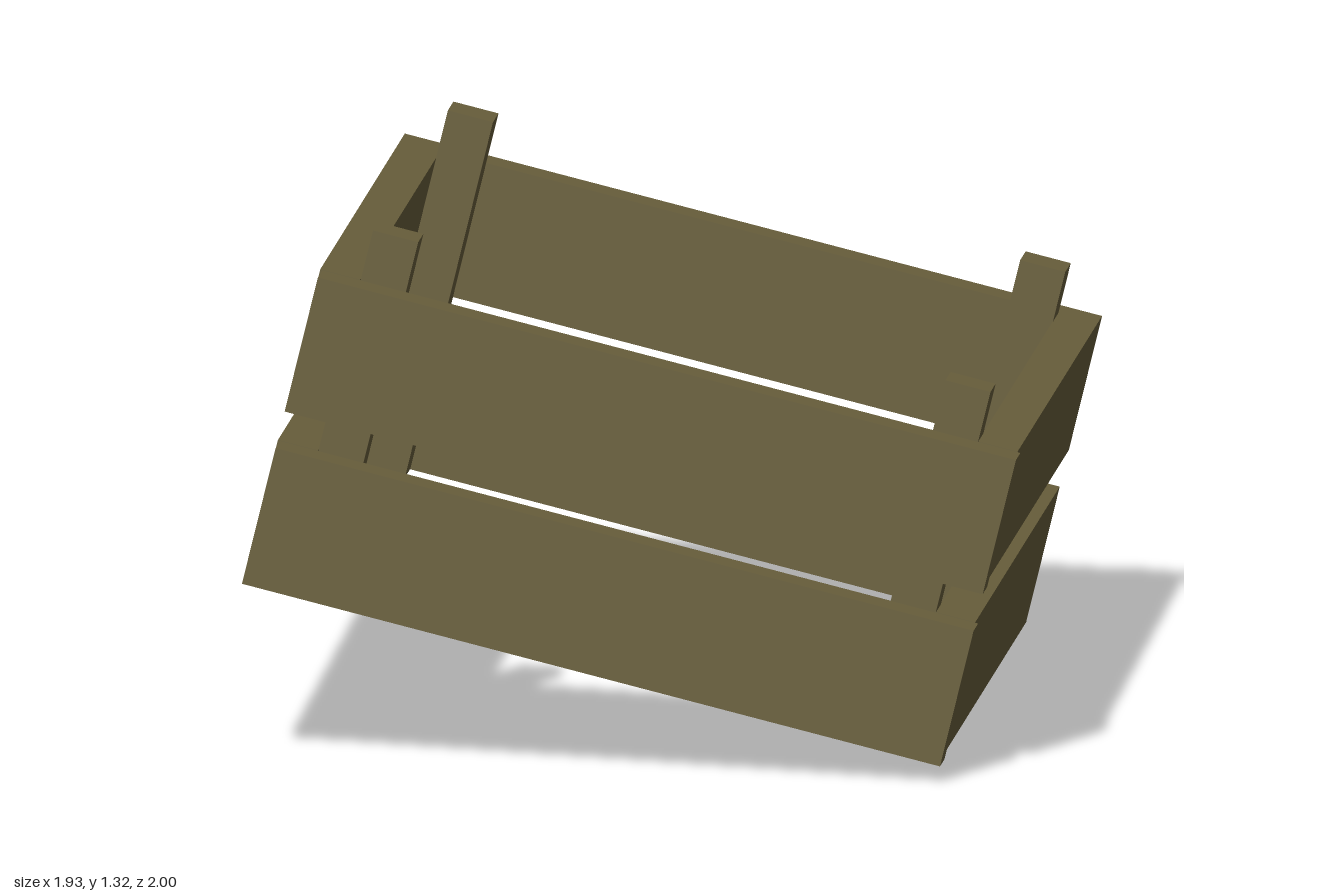
import * as THREE from 'three';

export function createModel() {
  const model = new THREE.Group();
  model.name = 'slattedCrate';
  const wood = new THREE.MeshStandardMaterial({ color: 0x6a603c });
  wood.name = 'agedWood';

  // The whole crate lies tilted, so it is built square inside a turned group
  const crate = new THREE.Group();
  crate.name = 'tiltedCrate';
  const ez = new THREE.Vector3(0.01, 0.021, 1).normalize();
  const ex = new THREE.Vector3(0.972, -0.235, -0.0048).normalize();
  const ey = new THREE.Vector3().crossVectors(ez, ex).normalize();
  ex.crossVectors(ey, ez);
  crate.quaternion.setFromRotationMatrix(new THREE.Matrix4().makeBasis(ex, ey, ez));
  model.add(crate);

  // Box given by its limits along each axis
  function beam(name, [x0, x1], [y0, y1], [z0, z1]) {
    const mesh = new THREE.Mesh(new THREE.BoxGeometry(x1 - x0, y1 - y0, z1 - z0), wood);
    mesh.position.set((x0 + x1) / 2, (y0 + y1) / 2, (z0 + z1) / 2);
    mesh.name = name;
    crate.add(mesh);
  }

  // Two rows of boards around the crate
  const rows = { lower: [0.203, 0.551], upper: [0.645, 0.989] };
  for (const [row, y] of Object.entries(rows)) {
    beam(row + 'FrontBoard', [-1.027, 0.738], y, [0.9, 1.0]);
    beam(row + 'BackBoard', [-1.033, 0.73], y, [-0.974, -0.876]);
    beam(row + 'RightBoard', [-1.033, -0.932], y, [-0.876, 0.895]);
    beam(row + 'LeftBoard', [0.63, 0.73], y, [-0.876, 0.895]);
  }

  // Corner posts inside the boards, standing above the rim
  for (const [side, x] of [['Right', [-0.93, -0.816]], ['Left', [0.517, 0.631]]]) {
    beam('front' + side + 'Post', x, [0.205, 1.117], [0.785, 0.901]);
    beam('back' + side + 'Post', x, [0.205, 1.117], [-0.874, -0.752]);
  }
  return model;
}
